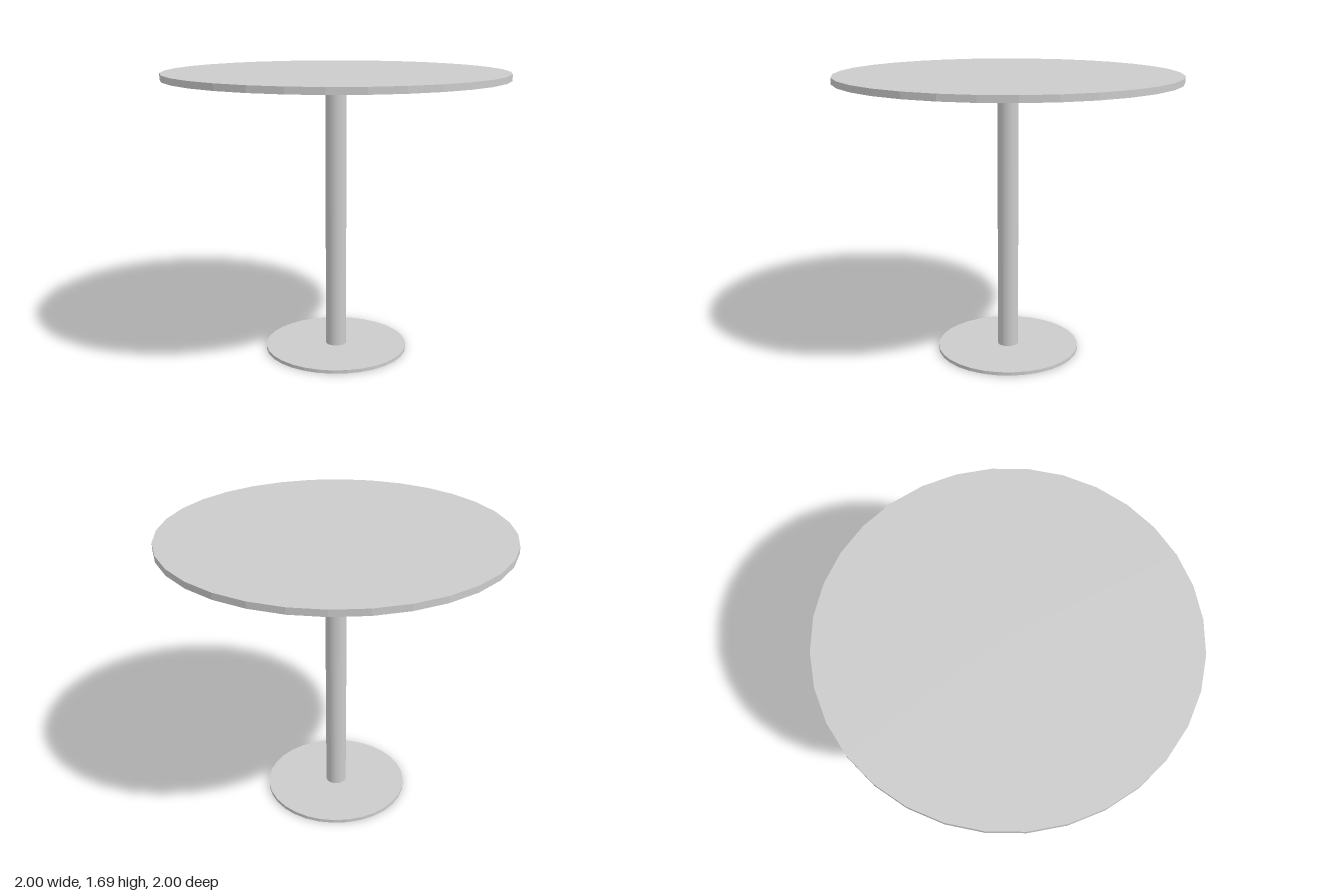
import * as THREE from 'three';

const SIDES = 32;

export function createModel() {
  const group = new THREE.Group();
  const material = new THREE.MeshStandardMaterial({ color: 0xcccccc, flatShading: true });

  // Upright disc or post spanning the heights y0 to y1
  function addRound(name, radius, y0, y1) {
    const geometry = new THREE.CylinderGeometry(radius, radius, y1 - y0, SIDES);
    const mesh = new THREE.Mesh(geometry, material);
    mesh.name = name;
    mesh.position.y = (y0 + y1) / 2;
    group.add(mesh);
  }

  addRound('basePlate', 0.43, 0, 0.02);
  addRound('column', 0.062, 0.02, 1.65);
  addRound('tableTop', 1, 1.65, 1.687);

  return group;
}
